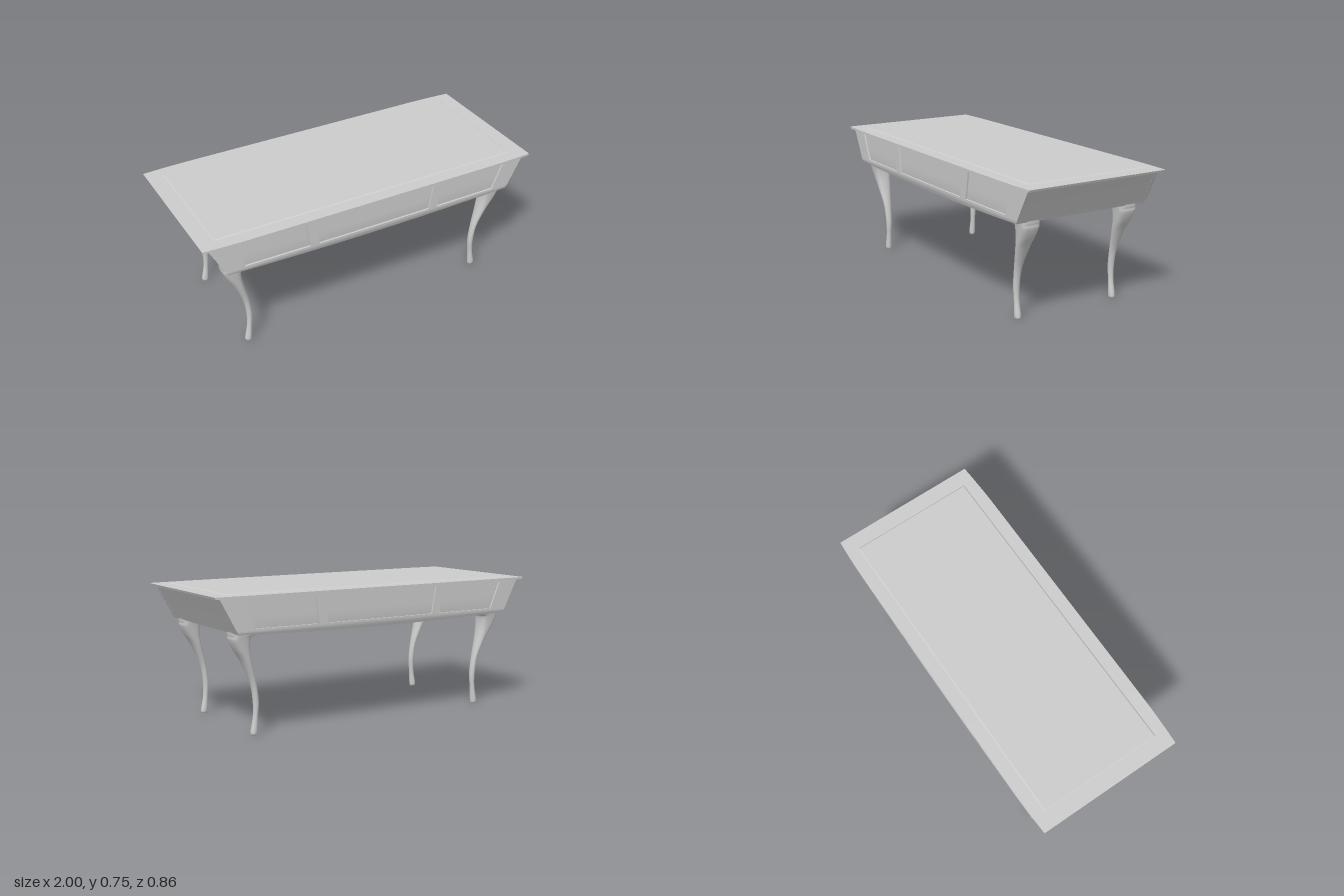
import * as THREE from 'three';

const material = new THREE.MeshStandardMaterial({ color: 0xcccccc, roughness: 0.7 });
const lerp = THREE.MathUtils.lerp;

// Gentle curves of the apron: bowed faces, sagging lower edge
const frontZ = (x, y) => 0.413 - 0.008 * x * x - 0.4 * Math.max(0, 0.56 - y);
const bottomY = (x) => 0.533 + 0.017 * (x / 0.865) ** 2;

function add(parent, name, geometry) {
  const mesh = new THREE.Mesh(geometry, material);
  mesh.name = name;
  parent.add(mesh);
  return mesh;
}

// Block with slanted ends: [bottom left, bottom right, top left, top right] in x,
// and heights and depths given as functions
function block([bl, br, tl, tr], yLow, yHigh, zBack, zFront, segments = 16) {
  const geo = new THREE.BoxGeometry(1, 1, 1, segments, 4, 1);
  const p = geo.attributes.position;
  for (let i = 0; i < p.count; i++) {
    const u = p.getX(i) + 0.5, v = p.getY(i) + 0.5, w = p.getZ(i) + 0.5;
    const x = lerp(lerp(bl, br, u), lerp(tl, tr, u), v);
    const y = lerp(yLow(x), yHigh(x), v);
    p.setXYZ(i, x, y, lerp(zBack(x, y), zFront(x, y), w));
  }
  geo.computeVertexNormals();
  return geo;
}

// Curved leg: sections [y, centre x, half width, half depth], squarish at the top
function legGeometry() {
  const sections = [
    [0, 0.735, 0.012, 0.011], [0.006, 0.736, 0.018, 0.016], [0.025, 0.735, 0.019, 0.018],
    [0.1, 0.726, 0.014, 0.015], [0.18, 0.723, 0.016, 0.018], [0.28, 0.738, 0.017, 0.023],
    [0.39, 0.775, 0.027, 0.039], [0.46, 0.803, 0.041, 0.047], [0.51, 0.815, 0.05, 0.053],
    [0.53, 0.811, 0.055, 0.056], [0.54, 0.795, 0.073, 0.058], [0.555, 0.793, 0.076, 0.059],
  ];
  const path = new THREE.CatmullRomCurve3(
    sections.map((s) => new THREE.Vector3(s[1], s[0], 0)), false, 'catmullrom');
  const radii = new THREE.CatmullRomCurve3(
    sections.map((s) => new THREE.Vector3(s[2], s[3], 0)), false, 'catmullrom');
  const rings = 44, sides = 24, pos = [], idx = [];
  const squared = (c, e) => Math.sign(c) * Math.abs(c) ** e;
  for (let i = 0; i <= rings; i++) {
    const c = path.getPoint(i / rings), r = radii.getPoint(i / rings);
    const e = lerp(1, 0.5, THREE.MathUtils.smoothstep(c.y, 0.35, 0.55));
    for (let j = 0; j < sides; j++) {
      const a = (j / sides) * Math.PI * 2;
      pos.push(c.x + r.x * squared(Math.cos(a), e), c.y, r.y * squared(Math.sin(a), e));
    }
  }
  for (let i = 0; i < rings; i++) {
    for (let j = 0; j < sides; j++) {
      const a = i * sides + j, b = i * sides + ((j + 1) % sides);
      idx.push(a, a + sides, b, b, a + sides, b + sides);
    }
  }
  // Sole of the foot
  const centre = pos.length / 3;
  pos.push(sections[0][1], 0, 0);
  for (let j = 0; j < sides; j++) idx.push(centre, j, (j + 1) % sides);
  const geo = new THREE.BufferGeometry();
  geo.setAttribute('position', new THREE.Float32BufferAttribute(pos, 3));
  geo.setIndex(idx);
  geo.computeVertexNormals();
  return geo;
}

export function createModel() {
  const desk = new THREE.Group();
  desk.name = 'desk';

  // Table top with bowed long edges
  const edge = (x) => 0.432 - 0.01 * Math.max(0, (Math.abs(x) - 0.7) / 0.3) ** 2;
  add(desk, 'tableTop', block([-0.995, 0.995, -1, 1], () => 0.738, () => 0.75,
    (x) => -edge(x), edge, 40));

  // Thin raised writing surface with sloping rim
  const surface = new THREE.BoxGeometry(1, 1, 1);
  const sp = surface.attributes.position;
  for (let i = 0; i < sp.count; i++) {
    const inset = sp.getY(i) > 0 ? 0.008 : 0;
    sp.setXYZ(i, Math.sign(sp.getX(i)) * (0.912 - inset), sp.getY(i) > 0 ? 0.755 : 0.749,
      Math.sign(sp.getZ(i)) * (0.36 - inset));
  }
  surface.computeVertexNormals();
  add(desk, 'writingSurface', surface);

  // Apron core; its long faces are the recessed drawer fronts
  const recess = (x, y) => frontZ(x, y) - 0.009;
  add(desk, 'apron', block([-0.865, 0.865, -0.967, 0.967], bottomY, () => 0.739,
    (x, y) => -recess(x, y), recess, 32));

  // Frame around the drawer fronts, on both long sides
  const low = () => 0.576, high = () => 0.727;
  const back = (x, y) => recess(x, y) - 0.01;
  const rail = (corners, yLow, yHigh) => block(corners, yLow, yHigh, back, frontZ, 32);
  const frameParts = [
    ['topRail', rail([-0.961, 0.961, -0.967, 0.967], high, () => 0.739)],
    ['bottomRail', rail([-0.865, 0.865, -0.879, 0.879], bottomY, low)],
    ['leftStile', rail([0.768, 0.879, 0.834, 0.961], low, high)],
    ['rightStile', rail([-0.879, -0.768, -0.961, -0.834], low, high)],
    ['leftDivider', rail([0.34, 0.394, 0.367, 0.42], low, high)],
    ['rightDivider', rail([-0.394, -0.34, -0.42, -0.367], low, high)],
  ];
  for (const side of ['front', 'back']) {
    const frame = new THREE.Group();
    frame.name = side + 'DrawerFrame';
    for (const [name, geo] of frameParts) add(frame, name, geo);
    if (side === 'back') frame.rotation.y = Math.PI;
    desk.add(frame);
  }

  // Four legs: the right-hand pair is turned half round
  const leg = legGeometry();
  for (const sx of [1, -1]) {
    for (const sz of [1, -1]) {
      const mesh = add(desk, (sz > 0 ? 'front' : 'back') + (sx > 0 ? 'Left' : 'Right') + 'Leg', leg);
      mesh.position.z = sz * 0.307;
      if (sx < 0) mesh.rotation.y = Math.PI;
    }
  }
  return desk;
}
